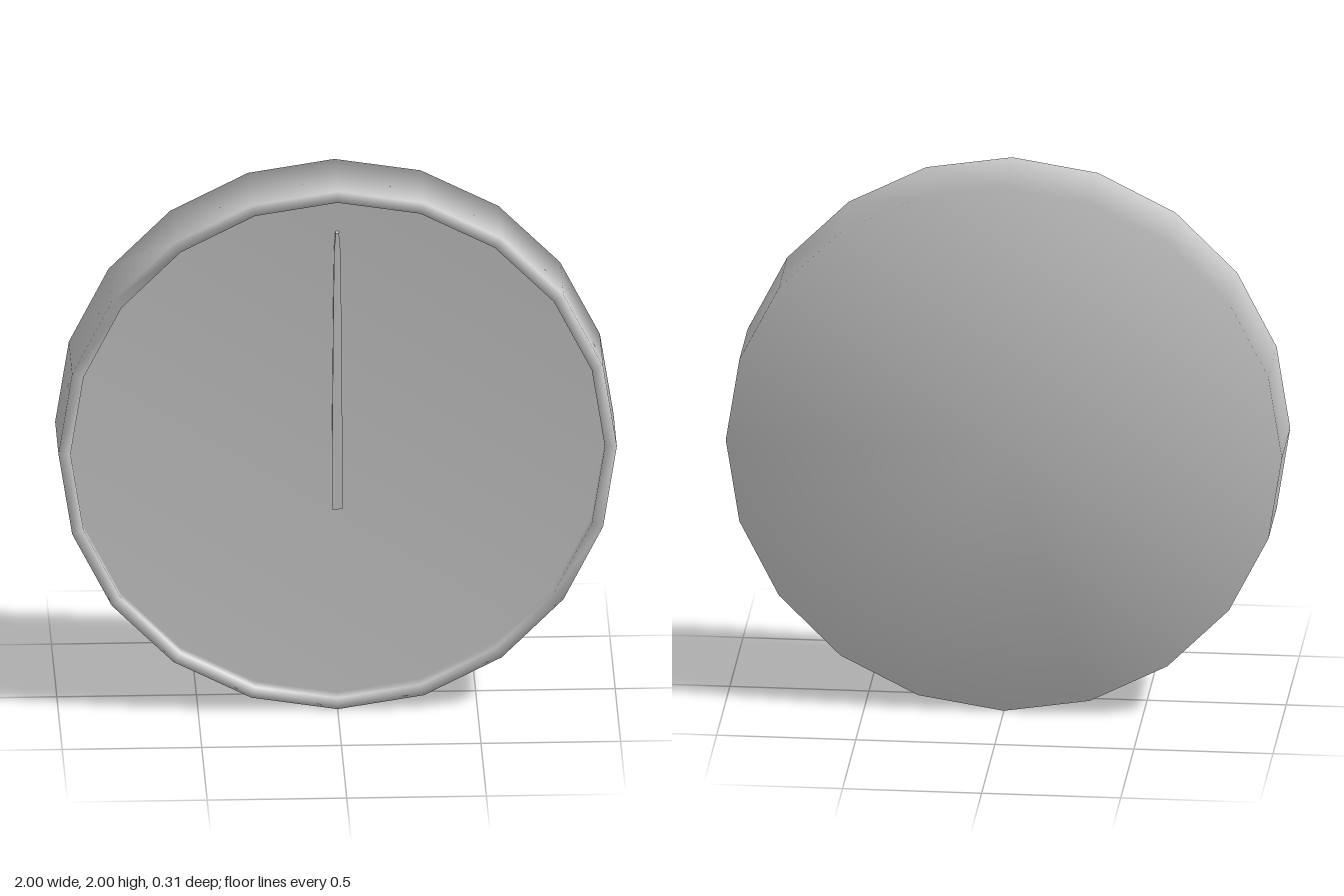
import * as THREE from 'three';

const SIDES = 20;
const DEPTH = 0.155;   // half thickness of the case
const FLOOR = 0.1;     // height of the recessed dial

export function createModel() {
  const group = new THREE.Group();
  const material = new THREE.MeshStandardMaterial({ color: 0xcccccc });

  // Round case: flat back, outer wall, narrow rim and recessed dial
  const profile = [
    [0, -DEPTH], [1, -DEPTH], [1, DEPTH],
    [0.957, DEPTH], [0.957, FLOOR], [0, FLOOR],
  ].map(([r, h]) => new THREE.Vector2(r, h));
  const caseGeometry = new THREE.LatheGeometry(profile, SIDES);
  caseGeometry.rotateX(Math.PI / 2);
  const body = new THREE.Mesh(caseGeometry, material);
  body.name = 'dialCase';
  body.position.y = 1;
  group.add(body);

  // Thin tapering hand, mirrored about its long axis
  const half = [[0.019, 0.76], [0.019, 0.95], [0.014, 1.55], [0.011, 1.76], [0.006, 1.825]];
  const outline = [...half, ...half.map(([x, y]) => [-x, y]).reverse()];
  const shape = new THREE.Shape(outline.map(([x, y]) => new THREE.Vector2(x, y)));
  const hand = new THREE.Mesh(
    new THREE.ExtrudeGeometry(shape, { depth: 0.03, bevelEnabled: false }),
    material
  );
  hand.name = 'hand';
  hand.position.z = FLOOR - 0.005;
  group.add(hand);

  return group;
}
